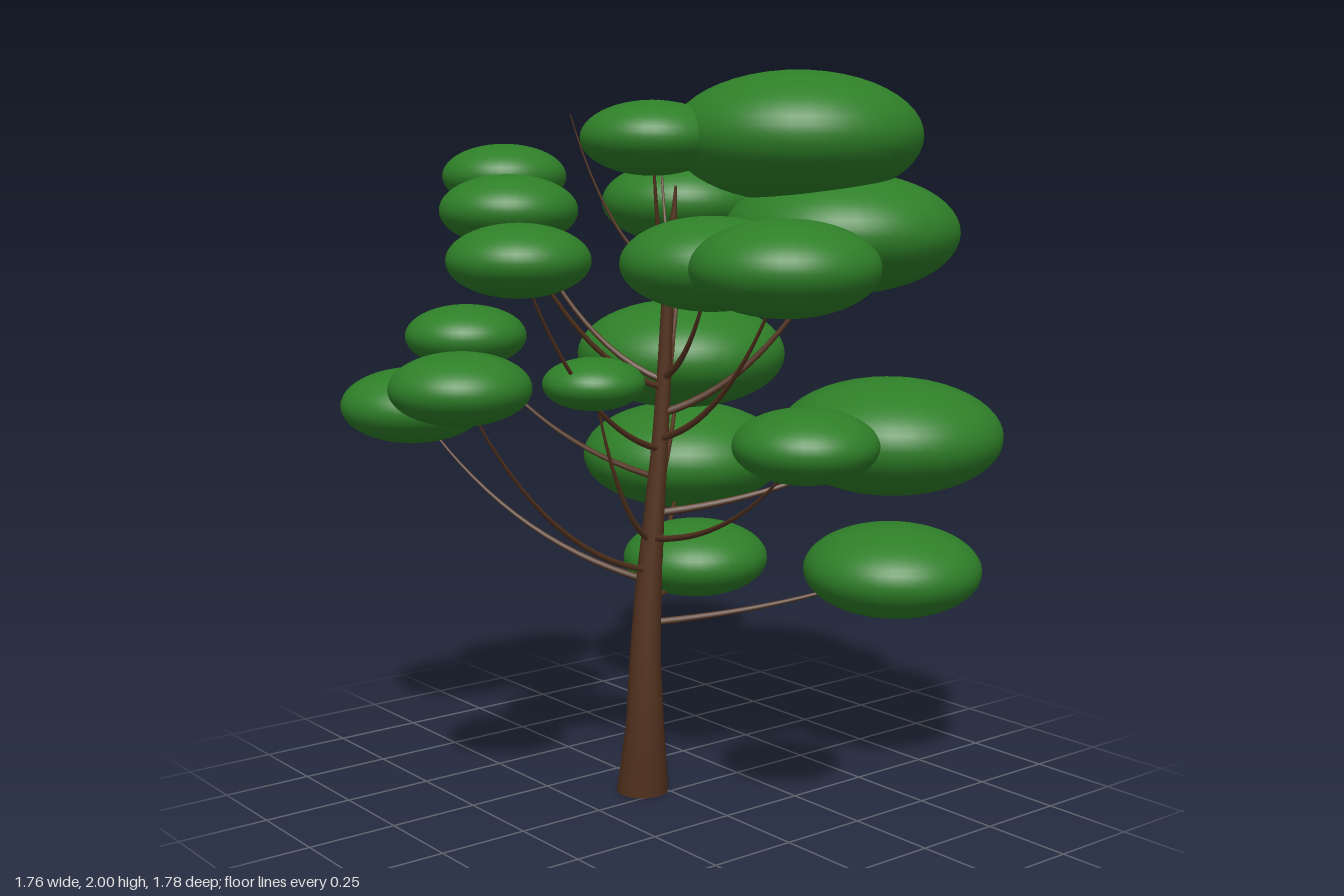
import * as THREE from 'three';

const V = (x, y, z) => new THREE.Vector3(x, y, z);
const bark = new THREE.MeshStandardMaterial({ color: 0x54331f });
const leaf = new THREE.MeshStandardMaterial({ color: 0x2e7f28 });

// Leaf pads: centre x, y, z, radius, height where the branch leaves the trunk
const PADS = [
  [0.26, 1.83, -0.22, 0.335, 1.38],
  [0.31, 1.575, -0.34, 0.318, 1.08],
  [0.28, 1.0, -0.57, 0.318, 0.8],
  [0.28, 0.61, -0.59, 0.255, 0.49],
  [-0.56, 0.85, -0.5, 0.318, 0.61],
  [-0.455, 1.185, -0.405, 0.318, 0.85],
  [-0.455, 1.645, -0.41, 0.245, 1.08],
  [-0.365, 1.725, 0.292, 0.17, 1.17],
  [0.07, 1.825, 0.115, 0.19, 1.4],
  [-0.086, 1.64, 0.463, 0.179, 1.15],
  [0.158, 1.525, 0.597, 0.178, 0.98],
  [0.555, 1.505, 0.083, 0.237, 1.01],
  [0.275, 1.505, 0.083, 0.237, 1.18],
  [0.062, 1.21, 0.71, 0.178, 0.64],
  [0.7, 1.09, 0.142, 0.178, 0.73],
  [-0.667, 1.07, 0.416, 0.21, 0.61],
  [-0.667, 1.26, 0.236, 0.178, 0.9],
  [-0.097, 0.64, -0.17, 0.207, 0.55],
  [0.05, 1.19, 0.295, 0.135, 0.72],
];

// Trunk centreline and matching radii
const TRUNK = [
  [-0.057, 0, 0.055, 0.074], [-0.043, 0.2, 0.057, 0.054], [-0.041, 0.4, 0.056, 0.044],
  [-0.04, 0.6, 0.044, 0.037], [-0.036, 0.8, 0.028, 0.029], [-0.03, 1, 0.012, 0.023],
  [-0.022, 1.2, 0.003, 0.02], [-0.01, 1.4, 0.0, 0.017], [0.005, 1.58, -0.005, 0.012],
  [0.012, 1.7, -0.01, 0.003],
];
const trunkPath = new THREE.CatmullRomCurve3(TRUNK.map(([x, y, z]) => V(x, y, z)));

function trunkAt(y) {
  const i = Math.max(0, TRUNK.findIndex((p) => p[1] > y) - 1);
  const a = TRUNK[i], b = TRUNK[i + 1], t = (y - a[1]) / (b[1] - a[1]);
  return a.map((v, k) => v + (b[k] - v) * t);
}

// Tube whose radius follows radiusAt(u, centre)
function taperedTube(path, segments, sides, radiusAt) {
  const geo = new THREE.TubeGeometry(path, segments, 1, sides);
  const pos = geo.attributes.position, p = V(0, 0, 0);
  for (let i = 0; i <= segments; i++) {
    const c = path.getPointAt(i / segments);
    for (let j = 0; j <= sides; j++) {
      const k = i * (sides + 1) + j;
      p.fromBufferAttribute(pos, k).sub(c).multiplyScalar(radiusAt(i / segments, c)).add(c);
      pos.setXYZ(k, p.x, Math.max(0, p.y), p.z);
    }
  }
  return geo;
}

function add(parent, name, geo, material) {
  const mesh = new THREE.Mesh(geo, material);
  mesh.name = name;
  parent.add(mesh);
  return mesh;
}

// Branch leaving the trunk sideways, then curving up to its tip
function branchTo(parent, name, startY, tip, thick) {
  const [x, y, z] = trunkAt(startY);
  const bend = V(x + (tip.x - x) * 0.6, y + (tip.y - y) * 0.17, z + (tip.z - z) * 0.6);
  const path = new THREE.QuadraticBezierCurve3(V(x, y, z), bend, tip);
  add(parent, name, taperedTube(path, 16, 6, (u) => thick * (1 - 0.75 * u)), bark);
}

export function createModel() {
  const tree = new THREE.Group();
  tree.name = 'tree';

  // Trunk with closed base
  add(tree, 'trunk', taperedTube(trunkPath, 36, 12, (u, c) => trunkAt(Math.min(1.69, Math.max(0, c.y)))[3]), bark);
  const base = add(tree, 'trunkBase', new THREE.CircleGeometry(0.072, 12), bark);
  base.rotation.x = Math.PI / 2;
  base.position.set(-0.057, 0.001, 0.055);

  // Branches and their flattened leaf pads
  const branches = new THREE.Group(), foliage = new THREE.Group();
  branches.name = 'branches';
  foliage.name = 'foliage';
  tree.add(branches, foliage);
  const sphere = new THREE.SphereGeometry(1, 40, 24);
  for (const [x, y, z, r, startY] of PADS) {
    branchTo(branches, 'branch', startY, V(x, y, z), 0.007 + r * 0.015);
    const pad = add(foliage, 'leafPad', sphere, leaf);
    pad.position.set(x, y, z);
    pad.scale.set(r, r * 0.515, r);
  }

  // Bare twigs near the crown
  branchTo(branches, 'twig', 1.45, V(-0.18, 1.89, 0.2), 0.006);
  branchTo(branches, 'twig', 1.5, V(-0.14, 1.935, -0.07), 0.006);
  return tree;
}
